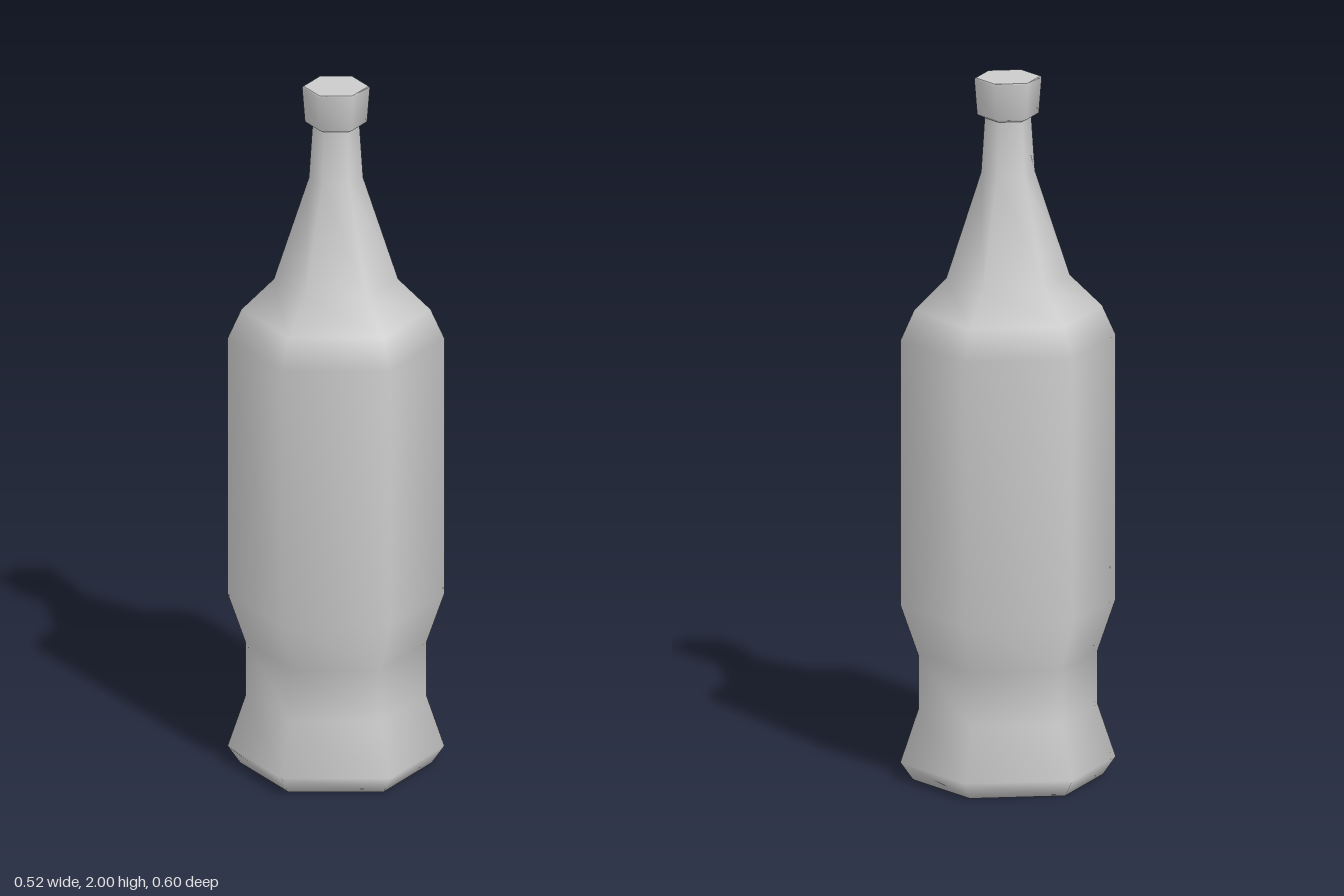
import * as THREE from 'three';

const SIDES = 6;

// Smooth-shaded hexagonal lathe; profile is [radius, height] from bottom to top
function hexLathe(name, profile, material) {
  const points = profile.map(([r, y]) => new THREE.Vector2(r, y));
  const mesh = new THREE.Mesh(new THREE.LatheGeometry(points, SIDES), material);
  mesh.name = name;
  return mesh;
}

export function createModel() {
  const group = new THREE.Group();
  group.name = 'bottle';
  const material = new THREE.MeshStandardMaterial({ color: 0xcccccc });

  // Base, waist, barrel, shoulder and neck
  group.add(hexLathe('bottleBody', [
    [0, 0], [0.265, 0], [0.3, 0.05], [0.25, 0.2], [0.25, 0.355],
    [0.3, 0.5], [0.3, 1.255], [0.262, 1.34], [0.172, 1.43],
    [0.075, 1.73], [0.065, 1.885],
  ], material));

  // Cap wall with its underside flaring out of the neck
  group.add(hexLathe('cap', [[0.065, 1.885], [0.086, 1.895], [0.094, 1.997], [0.09, 2]], material));

  // Flat top of the cap, corners aligned with the wall
  const top = new THREE.Mesh(
    new THREE.CircleGeometry(0.09, SIDES, Math.PI / 2).rotateX(-Math.PI / 2), material);
  top.name = 'capTop';
  top.position.y = 2;
  group.add(top);

  return group;
}
